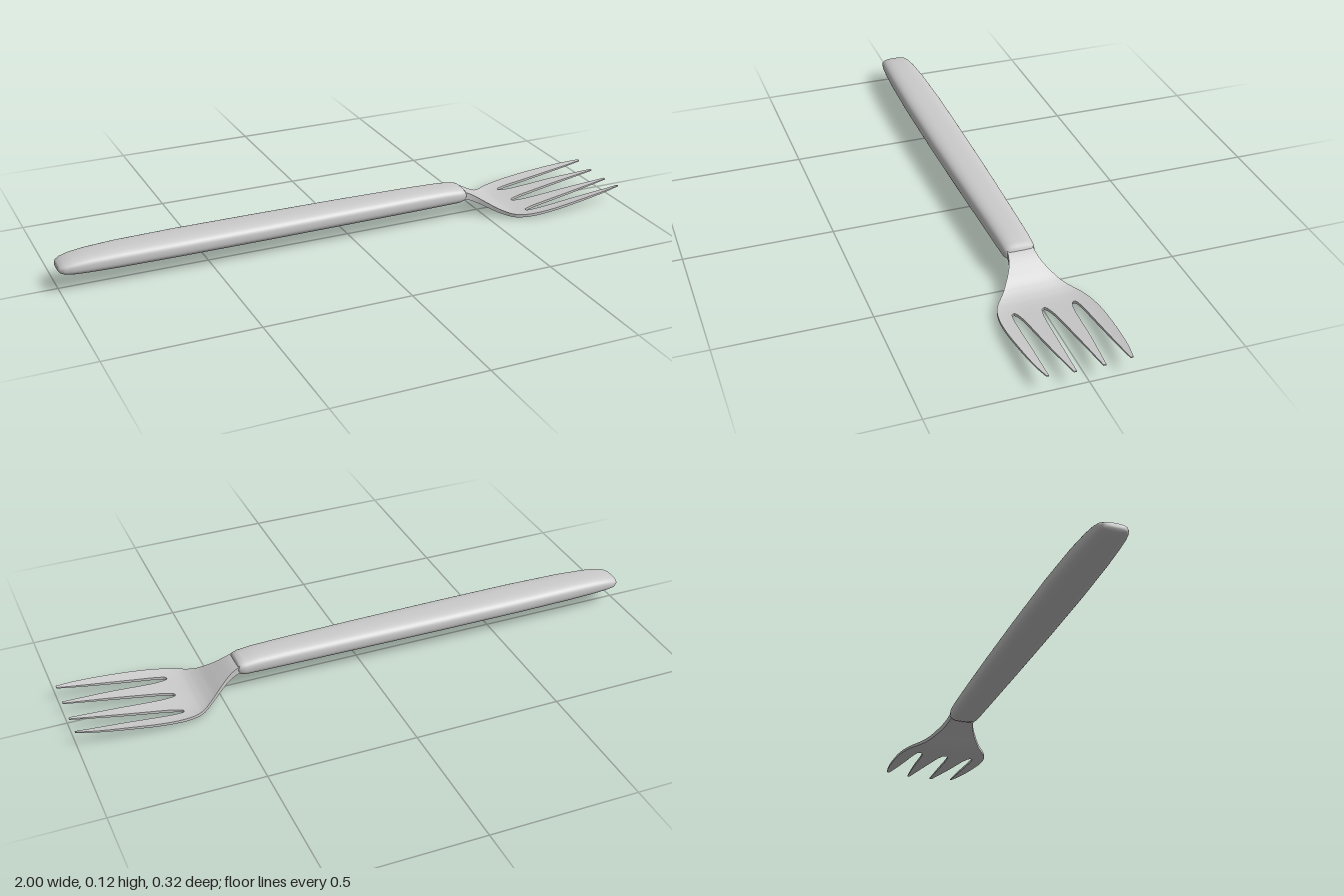
import * as THREE from 'three';
import { toCreasedNormals } from 'three/addons/utils/BufferGeometryUtils.js';

const material = new THREE.MeshStandardMaterial({ color: 0xcccccc });

// Smooth lookup through [x, value] points
function curve(points) {
  const slope = (i) => {
    const a = points[Math.max(i - 1, 0)], b = points[Math.min(i + 1, points.length - 1)];
    return (b[1] - a[1]) / (b[0] - a[0]);
  };
  return (x) => {
    if (x <= points[0][0]) return points[0][1];
    for (let i = 0; i < points.length - 1; i++) {
      const [x0, y0] = points[i], [x1, y1] = points[i + 1];
      if (x > x1) continue;
      const h = x1 - x0, t = (x - x0) / h, t2 = t * t, t3 = t2 * t;
      return y0 * (2 * t3 - 3 * t2 + 1) + y1 * (3 * t2 - 2 * t3)
        + h * (slope(i) * (t3 - 2 * t2 + t) + slope(i + 1) * (t3 - t2));
    }
    return points[points.length - 1][1];
  };
}

// Handle: rounded-rectangle sections lofted along x
function handleGeometry() {
  // x, half width, centre height, half height
  const stations = [
    [-1, 0, 0.078, 0], [-1, 0.028, 0.078, 0.007], [-0.995, 0.04, 0.078, 0.014],
    [-0.98, 0.049, 0.079, 0.021], [-0.95, 0.054, 0.081, 0.027], [-0.9, 0.058, 0.083, 0.031],
    [-0.8, 0.063, 0.085, 0.034], [-0.6, 0.067, 0.086, 0.035], [-0.3, 0.066, 0.086, 0.035],
    [0, 0.062, 0.086, 0.035], [0.25, 0.057, 0.085, 0.034], [0.36, 0.055, 0.084, 0.032],
    [0.41, 0.053, 0.082, 0.029], [0.427, 0.049, 0.082, 0.024], [0.434, 0.043, 0.082, 0.016],
    [0.436, 0, 0.082, 0],
  ];
  const n = 40, position = [], index = [];
  const power = (v) => Math.sign(v) * Math.abs(v) ** (2 / 2.7);
  stations.forEach(([x, w, y, h], i) => {
    for (let j = 0; j < n; j++) {
      const t = (j / n) * Math.PI * 2;
      position.push(x, y + h * power(Math.sin(t)), w * power(Math.cos(t)));
      if (i === stations.length - 1) continue;
      const a = i * n + j, c = i * n + (j + 1) % n;
      index.push(a, a + n, c + n, a, c + n, c);
    }
  });
  const geometry = new THREE.BufferGeometry();
  geometry.setAttribute('position', new THREE.Float32BufferAttribute(position, 3));
  geometry.setIndex(index);
  geometry.computeVertexNormals();
  return geometry;
}

// Head: four strips that share edges in the bowl and part into tines
const ROOT = 0.64;
const outline = curve([[0.41, 0.044], [0.44, 0.044], [0.48, 0.056], [0.54, 0.094], [0.59, 0.132],
  [0.64, 0.15], [0.72, 0.158], [0.84, 0.154], [0.94, 0.145], [1, 0.134]]);
const middleGap = curve([[ROOT, 0], [0.643, 0.006], [0.655, 0.011], [0.69, 0.018], [0.84, 0.03], [1, 0.041]]);
const sideGapInner = curve([[ROOT, 0.098], [0.643, 0.093], [0.655, 0.088], [0.69, 0.081], [0.84, 0.068], [1, 0.05]]);
const sideGapOuter = curve([[ROOT, 0.098], [0.643, 0.104], [0.655, 0.108], [0.69, 0.112], [0.84, 0.118], [1, 0.126]]);
const height = curve([[0.41, 0.088], [0.45, 0.074], [0.5, 0.046], [0.54, 0.022], [0.58, 0.008],
  [0.62, 0.007], [0.7, 0.015], [0.85, 0.033], [1, 0.05]]);
const halfThickness = curve([[0.41, 0.014], [0.46, 0.011], [0.54, 0.007], [0.62, 0.005], [0.85, 0.004], [1, 0.002]]);

// Edges of the inner or outer strip at x, on the +z side
function stripEdges(x, outer) {
  const w = outline(x);
  const share = w * 0.098 / outline(ROOT);
  const split = x > ROOT;
  return outer ? [split ? sideGapOuter(x) : share, w]
    : [split ? middleGap(x) : 0, split ? sideGapInner(x) : share];
}

function headGeometry() {
  const xs = [];
  for (let i = 0; i < 30; i++) xs.push(0.41 + (ROOT - 0.41) * i / 30);
  for (let i = 0; i <= 32; i++) xs.push(ROOT + (1 - ROOT) * (i / 32) ** 2);
  const m = 5, position = [];
  const quad = (a, b, c, d) => [a, b, c, a, c, d].forEach((p) => position.push(...p));

  for (const side of [1, -1]) for (const outer of [false, true]) {
    // Point k of m across the strip, on the top (+1) or bottom (-1) face
    const point = (x, k, face) => {
      const [a, b] = stripEdges(x, outer);
      const z = a + (b - a) * k / m;
      const dish = x > 0.5 ? 0.007 * Math.min(1, (x - 0.5) / 0.1) * (z / outline(x)) ** 4 : 0;
      return [x, height(x) + dish + face * halfThickness(x), side * z];
    };
    const add = (a, b, c, d) => (side > 0 ? quad(a, b, c, d) : quad(d, c, b, a));
    for (let i = 0; i < xs.length - 1; i++) {
      const x0 = xs[i], x1 = xs[i + 1];
      for (let k = 0; k < m; k++) {
        add(point(x0, k, 1), point(x0, k + 1, 1), point(x1, k + 1, 1), point(x1, k, 1));
        add(point(x0, k, -1), point(x1, k, -1), point(x1, k + 1, -1), point(x0, k + 1, -1));
      }
      // Side walls, only where the strip has a free edge
      if (outer || x0 >= ROOT) add(point(x0, m, -1), point(x1, m, -1), point(x1, m, 1), point(x0, m, 1));
      if (x0 >= ROOT) add(point(x0, 0, 1), point(x1, 0, 1), point(x1, 0, -1), point(x0, 0, -1));
    }
    // Tine tip
    add(point(1, 0, 1), point(1, m, 1), point(1, m, -1), point(1, 0, -1));
  }
  const geometry = new THREE.BufferGeometry();
  geometry.setAttribute('position', new THREE.Float32BufferAttribute(position, 3));
  return toCreasedNormals(geometry, 0.7);
}

export function createModel() {
  const group = new THREE.Group();
  group.name = 'fork';
  const handle = new THREE.Mesh(handleGeometry(), material);
  handle.name = 'handle';
  const head = new THREE.Mesh(headGeometry(), material);
  head.name = 'tinedHead';
  group.add(handle, head);
  return group;
}
